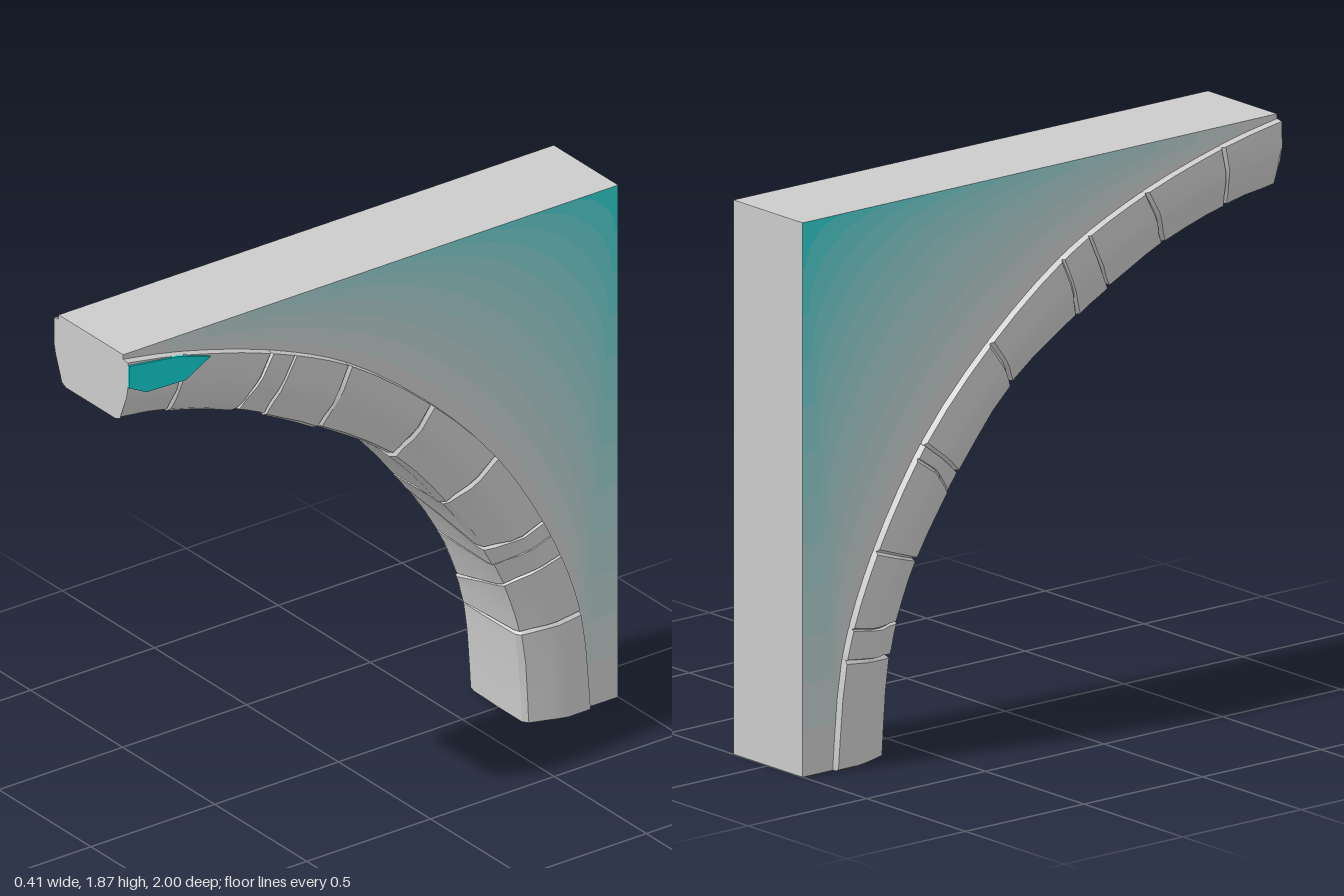
import * as THREE from 'three';
import { toCreasedNormals } from 'three/addons/utils/BufferGeometryUtils.js';

const GREY = 0xcccccc, TEAL = 0x10cfd0;
const HALF_WALL = 0.175, TOP = 1.87;

// Underside and upper edge of the arch as (z, y), paired at the main joints
const spline = (pts) => new THREE.SplineCurve(pts.map(([z, y]) => new THREE.Vector2(z, y)));
const inner = spline([[-0.64, 0], [-0.61, 0.34], [-0.5, 0.63], [-0.32, 0.9], [-0.1, 1.15],
  [0.19, 1.34], [0.53, 1.51], [0.8, 1.59], [1, 1.62]]);
const outer = spline([[-0.875, 0], [-0.835, 0.37], [-0.71, 0.7], [-0.5, 1.04], [-0.23, 1.32],
  [0.09, 1.56], [0.42, 1.71], [0.76, 1.81], [1, 1.855]]);
const STEPS = 8;

// Point in the arch: u runs from foot to crown, t from underside to upper edge
function archPoint(u, t) {
  const f = THREE.MathUtils.clamp(u / STEPS, 0, 1);
  return inner.getPoint(f).lerp(outer.getPoint(f), t);
}

// Half of the stone cross-section as (x, t), mirrored into the full one
const half = [[0.165, 1], [0.2, 0.98], [0.202, 0.6], [0.192, 0.42], [0.172, 0.2], [0.158, 0.04], [0.135, 0]];
const profile = [...half, [0, 0], ...half.slice().reverse().map(([x, t]) => [-x, t])];

// Joints between the stones: position along the arch and slant across its width
const joints = [[0, 0], [1, 0.01], [1.5, 0.22], [2, -0.03], [2.5, -0.36], [3, 0.02], [4, -0.02],
  [5, 0.03], [5.5, 0.2], [6, -0.03], [7, 0.02], [8, 0]];

function seeded(seed) {
  return () => {
    seed = (seed * 16807) % 2147483647;
    return seed / 2147483647 - 0.5;
  };
}

// One stone: the cross-section swept between two joints, sunk at both ends
function makeStone(index) {
  const rand = seeded(4711 + index * 977);
  const [from, to] = [joints[index], joints[index + 1]];
  const first = index === 0, last = index === joints.length - 2;
  const stations = [0, 0.03, 0.35, 0.68, 0.97, 1];
  const dx = rand() * 0.006, dt = rand() * 0.03;
  const chips = profile.map(() => [rand() * 0.007, rand() * 0.03]);
  const positions = [], faces = [], n = profile.length;

  stations.forEach((s, row) => {
    const joint = row === 0 || row === stations.length - 1;
    const flush = last && row === stations.length - 1;
    const sink = joint && !flush ? 0.012 : 0;
    profile.forEach(([x, t], k) => {
      const slant = THREE.MathUtils.clamp(x / 0.2, -1, 1);
      const u = THREE.MathUtils.lerp(from[0] + from[1] * slant, to[0] + to[1] * slant, s);
      const rough = joint || t > 0.9 ? 0 : 1;
      const depth = t + (t < 0.3 ? sink * 4 : 0) + rough * (dt + chips[k][1] + rand() * 0.012);
      const width = Math.abs(x) - sink + rough * (dx + chips[k][0]);
      const p = archPoint(u, depth);
      positions.push(x === 0 ? 0 : Math.sign(x) * width, p.y, p.x);
      if (row && k) {
        const d = row * n + k, c = d - 1, b = d - n, a = b - 1;
        faces.push(a, c, b, b, c, d);
      }
    });
  });
  // End faces at the foot and the crown
  const crown = (stations.length - 1) * n;
  for (let k = 1; k < n - 1; k++) {
    if (first) faces.push(0, k, k + 1);
    if (last) faces.push(crown, crown + k + 1, crown + k);
  }
  const geometry = new THREE.BufferGeometry();
  geometry.setAttribute('position', new THREE.Float32BufferAttribute(positions, 3));
  geometry.setIndex(faces);
  return toCreasedNormals(geometry, 0.45);
}

// Flat outline of (z, y) points given thickness along x
function slab(points, x0, x1) {
  const shape = new THREE.Shape(points.map((p) => new THREE.Vector2(-p.x, p.y)));
  const geometry = new THREE.ExtrudeGeometry(shape, { depth: x1 - x0, bevelEnabled: false });
  return geometry.rotateY(Math.PI / 2).translate(x0, 0, 0);
}

export function createModel() {
  const model = new THREE.Group();
  model.name = 'archBracket';
  const stone = new THREE.MeshStandardMaterial({ color: GREY, side: THREE.DoubleSide });
  const plain = new THREE.MeshStandardMaterial({ color: GREY });

  // Wall above the arch, in bands that turn from grey to teal towards the corner
  const wall = new THREE.Group();
  wall.name = 'wall';
  const corner = new THREE.Vector2(-1, TOP);
  const edge = [new THREE.Vector2(-1, 0)];
  for (let i = 0; i <= 32; i++) edge.push(archPoint(i / 4, 0.88));
  edge.push(new THREE.Vector2(1, TOP));
  const BANDS = 12;
  const line = (f) => (f === 1 ? [corner] : edge.map((p) => p.clone().lerp(corner, f)));
  for (let i = 0; i < BANDS; i++) {
    const outline = [...line(i / BANDS), ...line((i + 1) / BANDS).reverse()];
    const color = new THREE.Color(GREY).lerp(new THREE.Color(TEAL), (i + 0.5) / BANDS);
    const face = new THREE.MeshStandardMaterial({ color });
    const band = new THREE.Mesh(slab(outline, -HALF_WALL, HALF_WALL), [face, plain]);
    band.name = 'wallBand';
    wall.add(band);
  }
  model.add(wall);

  // Arch of cut stones
  const arch = new THREE.Group();
  arch.name = 'arch';
  for (let i = 0; i < joints.length - 1; i++) {
    const mesh = new THREE.Mesh(makeStone(i), stone);
    mesh.name = 'archStone';
    arch.add(mesh);
  }
  model.add(arch);

  // Teal stain on the left side of the crown stone
  const stain = [[0.998, 1.84], [0.8, 1.815], [0.67, 1.775], [0.77, 1.72], [0.93, 1.725], [0.998, 1.76]];
  const patch = new THREE.Mesh(
    slab(stain.map(([z, y]) => new THREE.Vector2(z, y)), 0.18, 0.207),
    new THREE.MeshStandardMaterial({ color: TEAL }));
  patch.name = 'tealPatch';
  model.add(patch);
  return model;
}
